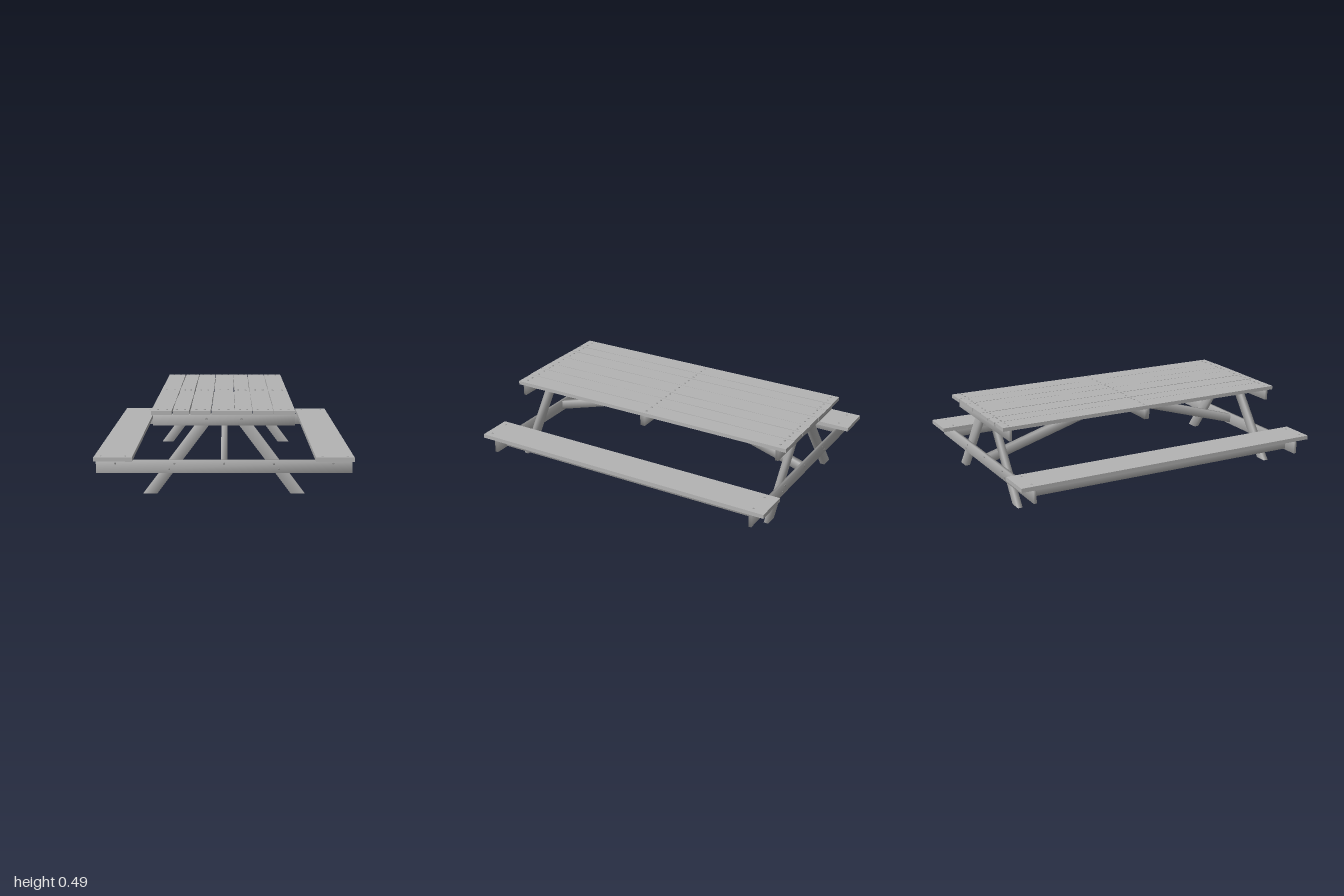
import * as THREE from 'three';
import { mergeVertices } from 'three/addons/utils/BufferGeometryUtils.js';

const wood = new THREE.MeshStandardMaterial({ color: 0xb4b4b4 });
wood.name = 'grey wood';
const steel = new THREE.MeshStandardMaterial({ color: 0x969696 });
steel.name = 'nail steel';

// Small seeded generator for the worn plank edges
let seed = 7;
function wobble(amount) {
  seed = (seed * 16807) % 2147483647;
  return (seed / 2147483647 - 0.5) * 2 * amount;
}

// Shares the corner normals so lumber shades softly
function soften(geometry) {
  geometry.deleteAttribute('uv');
  geometry.deleteAttribute('normal');
  const merged = mergeVertices(geometry, 1e-4);
  merged.computeVertexNormals();
  return merged;
}

// Prism from an outline in x, y, centred on z = 0
function prism(points, depth) {
  const shape = new THREE.Shape(points.map(([x, y]) => new THREE.Vector2(x, y)));
  const geometry = new THREE.ExtrudeGeometry(shape, { depth, bevelEnabled: false });
  return geometry.translate(0, 0, -depth / 2);
}

export function createModel() {
  const model = new THREE.Group();
  model.name = 'picnicTable';

  function add(name, geometry, x = 0, y = 0, z = 0, material = wood) {
    const mesh = new THREE.Mesh(geometry, material);
    mesh.name = name;
    mesh.position.set(x, y, z);
    model.add(mesh);
    return mesh;
  }
  // Box given by its limits on each axis
  function board(name, [x0, x1], [y0, y1], [z0, z1], soft = true) {
    const box = new THREE.BoxGeometry(x1 - x0, y1 - y0, z1 - z0);
    add(name, soft ? soften(box) : box, (x0 + x1) / 2, (y0 + y1) / 2, (z0 + z1) / 2);
  }
  const nailHead = new THREE.CylinderGeometry(0.005, 0.007, 0.004, 8);
  function nail(x, y, z, facing = 0) {
    const head = add('nail', nailHead, x, y, z, steel);
    head.rotation.x = facing * Math.PI / 2;
  }

  // Tabletop planks with slightly uneven edges
  const planks = [
    [-0.413, -0.295], [-0.291, -0.196], [-0.191, -0.074], [-0.069, 0.058],
    [0.061, 0.159], [0.162, 0.28], [0.283, 0.404],
  ];
  planks.forEach(([x0, x1], i) => {
    const front = 0.952 + wobble(0.004), back = -0.968 + wobble(0.004);
    const left = [], right = [];
    for (let k = 0; k <= 12; k++) {
      const v = -THREE.MathUtils.lerp(back, front, k / 12);
      left.push([x0 + (i === 0 ? 0 : wobble(0.002)), v]);
      right.push([x1 + (i === 6 ? 0 : wobble(0.002)), v]);
    }
    const geometry = prism([...left, ...right.reverse()], 0.023).rotateX(-Math.PI / 2);
    add('tabletopPlank', geometry, 0, 0.4775 + wobble(0.001), 0);
    for (const z of [-0.92, -0.01, 0.905]) {
      for (const t of [0.27, 0.73]) {
        nail(THREE.MathUtils.lerp(x0, x1, t) + wobble(0.006), 0.49, z);
      }
    }
  });

  // Cleat across the middle of the tabletop
  board('middleCleat', [-0.405, 0.405], [0.4, 0.467], [-0.016, 0.016]);

  // End frames: cleat and cross beam outside a pair of splayed legs
  for (const [side, beamZ, legZ] of [[1, 0.906, 0.882], [-1, -0.916, -0.893]]) {
    const depth = [beamZ - 0.009, beamZ + 0.009];
    const face = beamZ + side * 0.01;
    board('tableCleat', [-0.405, 0.405], [0.4, 0.467], depth);
    board('crossBeam', [-0.735, 0.735], [0.125, 0.2], depth);
    for (const s of [-1, 1]) {
      const outline = [[0.465, 0], [0.116, 0.466], [0.036, 0.466], [0.385, 0]];
      const points = outline.map(([x, y]) => [s * x, y]);
      add('leg', soften(prism(points, 0.03)), 0, 0, legZ);
      nail(s * 0.625, 0.18, face, side);
      nail(s * 0.285, 0.178, face, side);
      nail(s * 0.315, 0.148, face, side);
      nail(s * 0.1, 0.44, face, side);
    }
    nail(0, 0.18, face, side);

    // Diagonal brace from the cross beam up to the middle cleat
    const reach = Math.abs(beamZ) - 0.009;
    const brace = prism([[0, 0.405], [reach, 0.138], [reach, 0.195], [0, 0.465]], 0.037);
    add('diagonalBrace', soften(brace)).rotation.y = -side * Math.PI / 2;
  }

  // Benches with a rail under each seat
  for (const s of [-1, 1]) {
    const seat = s < 0 ? [-0.738, -0.52] : [0.52, 0.738];
    board('benchSeat', seat, [0.206, 0.231], [-1, 1], false);
    board('benchRail', [s * 0.625 - 0.018, s * 0.625 + 0.018], [0.132, 0.207], [-0.908, 0.898]);
    for (const z of [-0.92, 0.96]) {
      nail(s * 0.56, 0.231, z);
      nail(s * 0.7, 0.231, z);
    }
  }

  return model;
}
